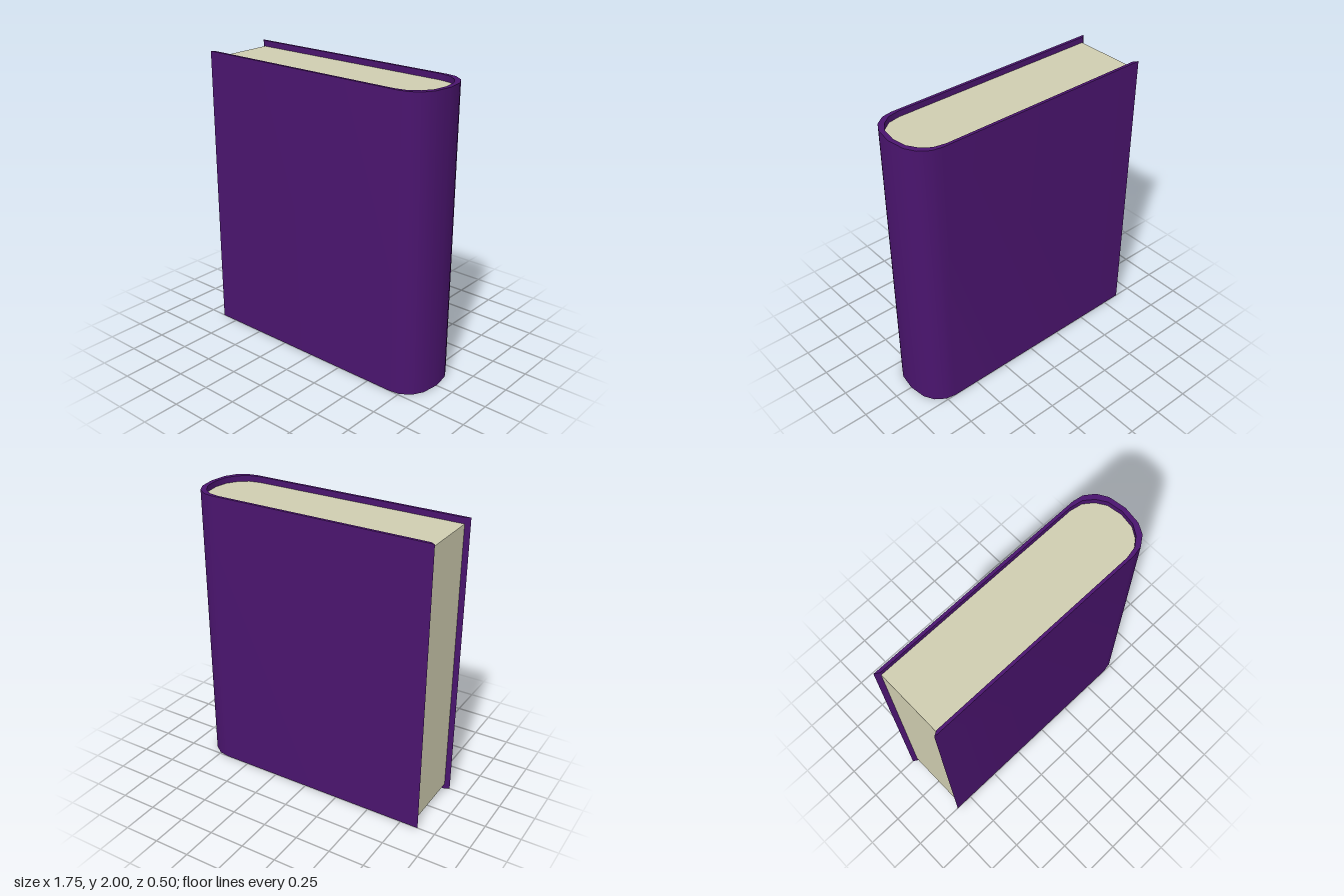
import * as THREE from 'three';
import { toCreasedNormals } from 'three/addons/utils/BufferGeometryUtils.js';

const HEIGHT = 2;
const PAGE_INSET = 0.04;

// Half profiles [x, z] from the open edge round to the middle of the spine
const OUTER = [[-0.877, 0.25], [0.685, 0.25], [0.755, 0.237], [0.82, 0.19], [0.86, 0.12], [0.877, 0]];
const INNER = [[-0.845, 0.23], [0.645, 0.23], [0.728, 0.214], [0.789, 0.167], [0.831, 0.1], [0.846, 0]];

// Mirror a half profile into a full U-shaped outline
function fullOutline(half) {
  const mirrored = half.slice(0, -1).reverse().map(([x, z]) => [x, -z]);
  return [...half, ...mirrored].map(([x, z]) => new THREE.Vector2(x, z));
}

// Extrude an outline upwards, smooth round the spine and sharp elsewhere
function prism(name, points, bottom, top, color) {
  const extruded = new THREE.ExtrudeGeometry(new THREE.Shape(points), {
    depth: top - bottom,
    bevelEnabled: false,
  });
  extruded.rotateX(-Math.PI / 2);
  extruded.translate(0, bottom, 0);
  const mesh = new THREE.Mesh(
    toCreasedNormals(extruded, 0.5),
    new THREE.MeshStandardMaterial({ color })
  );
  mesh.name = name;
  return mesh;
}

export function createModel() {
  const book = new THREE.Group();
  book.name = 'book';

  const outer = fullOutline(OUTER);
  const inner = fullOutline(INNER);

  // Cover: boards and rounded spine in one wrap, with slanted open edges
  book.add(prism('cover', [...outer, ...inner.slice().reverse()], 0, HEIGHT, 0x4a146e));

  // Page block: fills the cover, set back at top and bottom
  book.add(prism('pages', inner, PAGE_INSET, HEIGHT - PAGE_INSET, 0xcfcdb0));

  return book;
}
